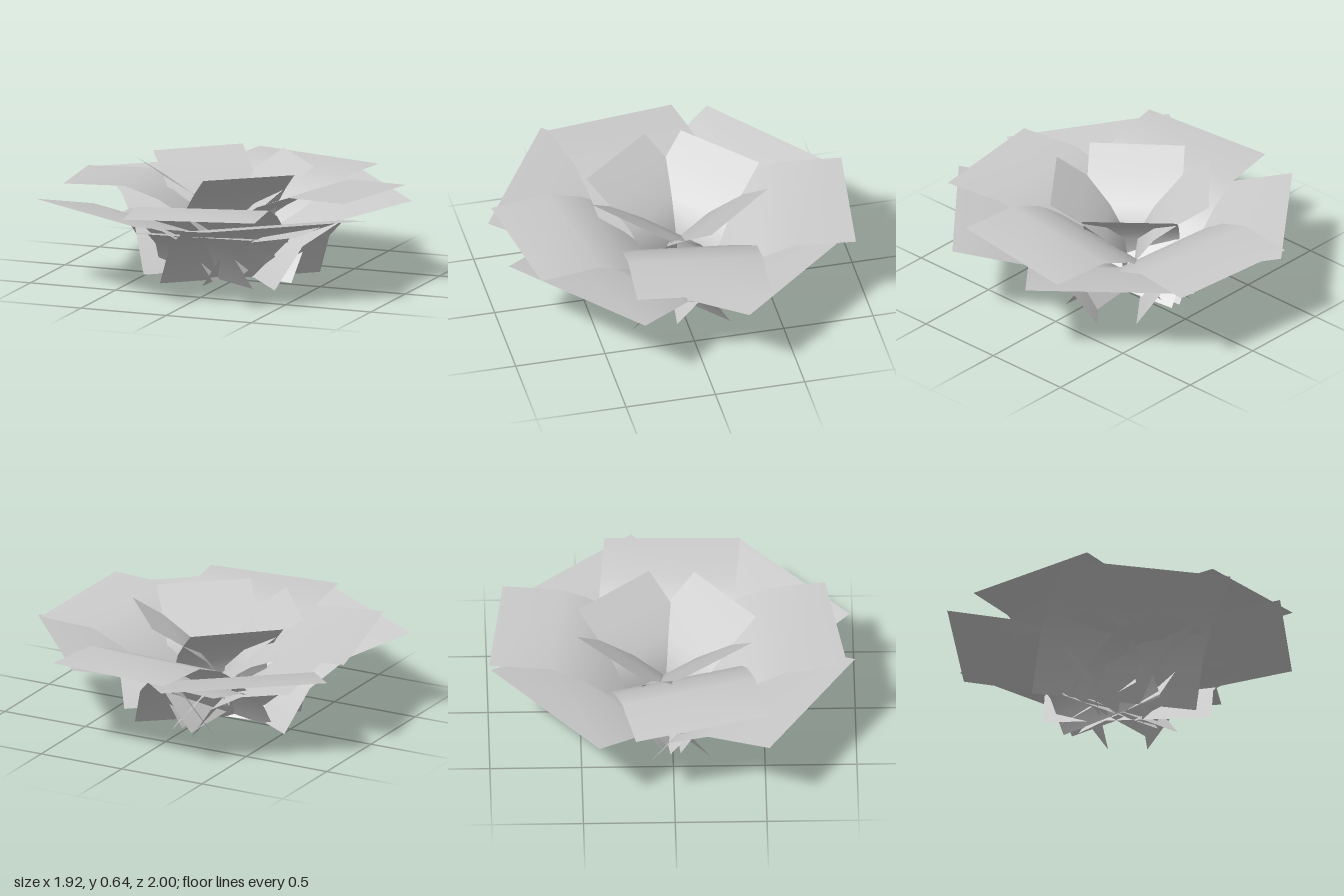
import * as THREE from 'three';

// One ring per entry. profile: [distance inward from the tip, height change from the tip].
// petals: [yaw, tip x, tip y, tip z, sideways tilt]
const RINGS = [
  {
    name: 'outerPetal', width: 0.92,
    profile: [[0, 0], [0.39, -0.075], [0.63, -0.21], [0.79, -0.445]],
    petals: [
      [0.71, 0.575, 0.475, 0.675, 0], [2.28, 0.66, 0.475, -0.55, 0],
      [-2.46, -0.595, 0.475, -0.70, 0], [-0.55, -0.57, 0.475, 0.755, 0],
    ],
  },
  {
    name: 'middlePetal', width: 0.74,
    profile: [[0, 0], [0.34, 0], [0.53, -0.07], [0.67, -0.16], [0.81, -0.28], [0.98, -0.48]],
    petals: [
      [0.15, 0.09, 0.51, 0.9, 0.02], [1.49, 0.83, 0.545, 0.02, -0.05],
      [3.02, 0.108, 0.512, -0.955, 0.03], [-1.37, -0.875, 0.545, 0.15, 0.075],
    ],
  },
  {
    name: 'innerPetal', width: 0.52,
    profile: [[0, 0], [0.16, -0.105], [0.3, -0.21], [0.39, -0.33], [0.41, -0.48]],
    petals: [
      [0.68, 0.20, 0.64, 0.295, 0], [2.28, 0.248, 0.64, -0.312, 0],
      [-2.406, -0.358, 0.64, -0.345, 0], [-0.89, -0.40, 0.64, 0.23, 0],
    ],
  },
  {
    name: 'lowerPetal', width: 0.67,
    profile: [[0, 0], [0.285, -0.055], [0.46, -0.15], [0.575, -0.325]],
    petals: [
      [0.1, -0.025, 0.35, 0.58, 0], [1.5, 0.54, 0.35, 0.04, 0],
      [3.05, -0.03, 0.35, -0.59, 0], [-1.45, -0.62, 0.345, 0.03, 0.06],
    ],
  },
];

const material = new THREE.MeshStandardMaterial({ color: 0xcccccc, side: THREE.DoubleSide });

// A flat sheet bent along the profile, tip at the local origin and facing +z
function bentSheet(width, profile, tilt) {
  const geometry = new THREE.PlaneGeometry(width, 1, 1, profile.length - 1);
  const p = geometry.attributes.position;
  for (let i = 0; i < p.count; i++) {
    const [inward, height] = profile[Math.floor(i / 2)];
    p.setXYZ(i, p.getX(i), height + tilt * p.getX(i), -inward);
  }
  geometry.computeVertexNormals();
  return geometry;
}

export function createModel() {
  const flower = new THREE.Group();
  flower.name = 'flower';
  for (const { name, width, profile, petals } of RINGS) {
    const ring = new THREE.Group();
    ring.name = name + 'Ring';
    for (const [yaw, x, y, z, tilt] of petals) {
      const petal = new THREE.Mesh(bentSheet(width, profile, tilt), material);
      petal.name = name;
      petal.position.set(x, y, z);
      petal.rotation.y = yaw;
      ring.add(petal);
    }
    flower.add(ring);
  }
  return flower;
}
